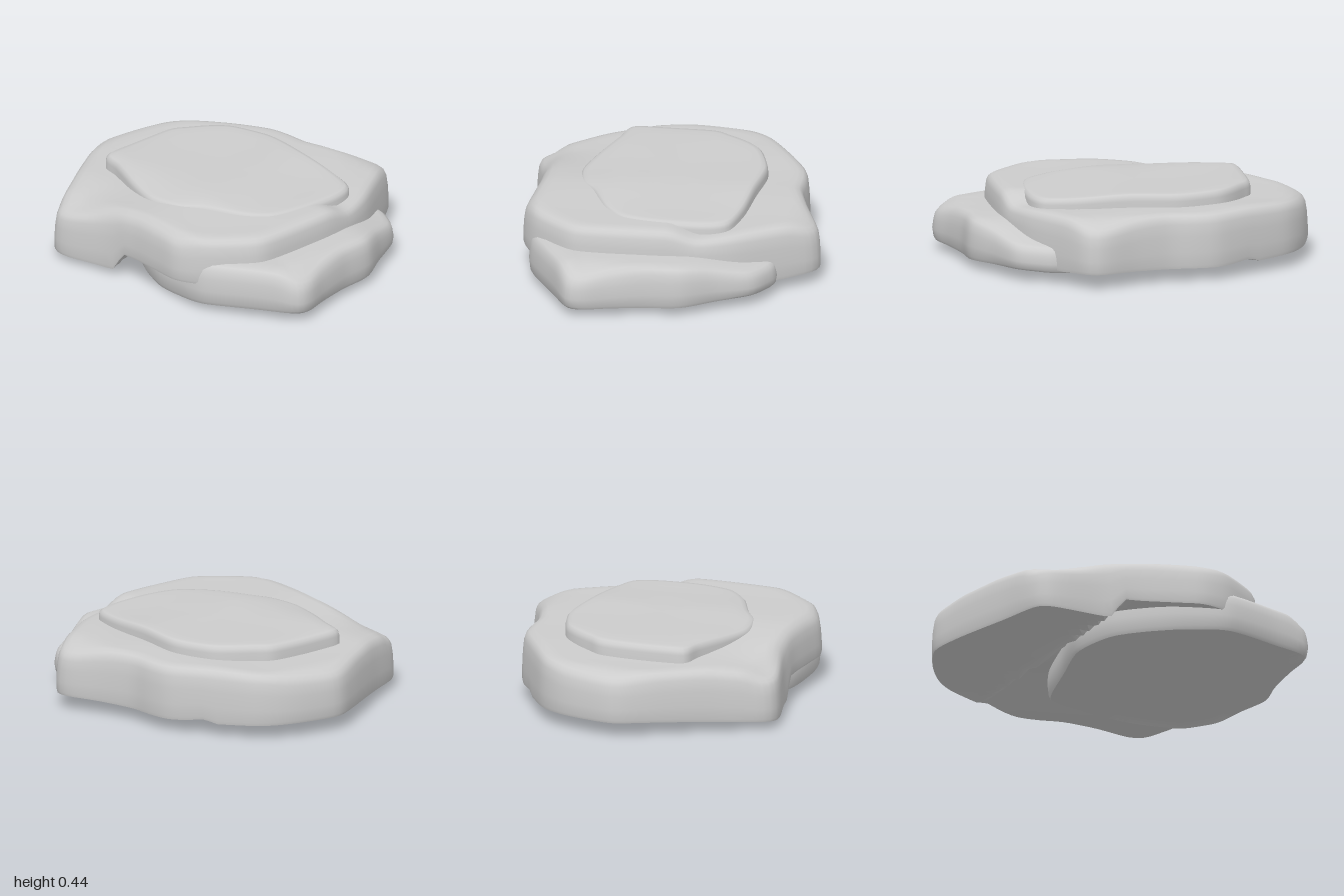
import * as THREE from 'three';
import { toCreasedNormals } from 'three/addons/utils/BufferGeometryUtils.js';

const SIDES = 130;
const step = THREE.MathUtils.smoothstep;

// Gentle uneven weathering
const ripple = (x, z) => 0.004 * Math.sin(7 * x + 3 * z) * Math.sin(5 * z - 4 * x + 1);

// Each profile entry: [scale of outline, height from underside (0) to top (1)]
const slabProfile = [
  [0, 0], [0.2, 0], [0.3, 0], [0.4, 0], [0.5, 0], [0.6, 0], [0.7, 0], [0.8, 0], [0.9, 0], [0.995, 0], [1, 0.06],
  [1, 0.3], [0.995, 0.6], [0.986, 0.82], [0.972, 0.92], [0.95, 0.97], [0.91, 1], [0.86, 1], [0.8, 1],
  [0.72, 1], [0.64, 1], [0.5, 1], [0.3, 1], [0, 1],
];
const lowerProfile = [
  [0, 0], [0.3, 0], [0.6, 0], [0.85, 0], [0.975, 0], [0.99, 0.08], [1, 0.35], [0.99, 0.65],
  [0.978, 0.85], [0.95, 0.96], [0.91, 1], [0.8, 1], [0.65, 1], [0.4, 1], [0, 1],
];
const capProfile = [
  [0, 0], [0.6, 0], [1, 0], [1, 0.75], [0.99, 0.9], [0.965, 0.98], [0.92, 1], [0.8, 1], [0.6, 1], [0.3, 1], [0, 1],
];

// Stone slab lofted from an outline [x, z] between two height functions
function makeSlab(name, material, outline, [cx, cz], profile, bottom, top) {
  const points = outline.map(([x, z]) => new THREE.Vector3(x, 0, z));
  const rim = new THREE.CatmullRomCurve3(points, true, 'catmullrom', 0.4).getSpacedPoints(SIDES).slice(0, SIDES);
  const positions = [];
  const index = [];
  profile.forEach(([s, v], r) => {
    rim.forEach((p, i) => {
      const x = cx + (p.x - cx) * s;
      const z = cz + (p.z - cz) * s;
      const y = THREE.MathUtils.lerp(bottom(x, z), top(x, z) + ripple(x, z), v);
      positions.push(x, y, z);
      if (r === profile.length - 1) return;
      const j = (i + 1) % SIDES;
      const a = r * SIDES + i, b = a + SIDES, c = (r + 1) * SIDES + j, d = r * SIDES + j;
      if (profile[r + 1][0] > 0) index.push(a, b, c);
      if (s > 0) index.push(a, c, d);
    });
  });
  const geometry = new THREE.BufferGeometry();
  geometry.setAttribute('position', new THREE.Float32BufferAttribute(positions, 3));
  geometry.setIndex(index);
  const mesh = new THREE.Mesh(toCreasedNormals(geometry, 0.9), material);
  mesh.name = name;
  return mesh;
}

export function createModel() {
  const group = new THREE.Group();
  group.name = 'stackedFlatRocks';
  const stone = new THREE.MeshStandardMaterial({ color: 0xcccccc });
  stone.name = 'greyStone';

  // Low slab sticking out on the left side
  group.add(makeSlab('lowerSlab', stone, [
    [-0.31, -0.3], [-0.1, -0.45], [0.2, -0.58], [0.46, -0.64], [0.57, -0.61], [0.68, -0.54], [0.78, -0.36],
    [0.88, -0.19], [0.9, 0], [0.95, 0.2], [1, 0.35], [0.98, 0.44], [0.8, 0.55], [0.52, 0.71],
    [0.3, 0.72], [0.12, 0.69], [-0.12, 0.58], [-0.27, 0.38], [-0.3, 0.1],
  ], [0.35, 0.05], lowerProfile,
  (x, z) => 0.05 * Math.max(0, (x - 0.15) / 0.85) + 0.035 * step(-z, 0, 0.65) + 0.015 * step(z, 0.35, 0.7),
  (x, z) => 0.274 - 0.085 * step(-z, 0.15, 0.62) - 0.05 * step(x, 0.86, 1)));

  // Broad main slab, raised along its front left and notched underneath to sit on the lower slab
  group.add(makeSlab('mainSlab', stone, [
    [-1, 0.07], [-0.97, -0.14], [-0.92, -0.28], [-0.83, -0.4], [-0.62, -0.545], [-0.43, -0.66], [-0.3, -0.685],
    [-0.15, -0.69], [0.03, -0.75], [0.2, -0.83], [0.28, -0.843], [0.35, -0.8], [0.48, -0.61], [0.6, -0.42],
    [0.68, -0.22], [0.715, 0], [0.72, 0.38], [0.68, 0.5], [0.52, 0.69], [0.37, 0.77], [0.2, 0.765], [0, 0.755],
    [-0.2, 0.775], [-0.46, 0.84], [-0.57, 0.805], [-0.72, 0.56], [-0.92, 0.24],
  ], [-0.05, 0], slabProfile,
  (x, z) => 0.035 + 0.045 * step(-x, 0.4, 1) + 0.045 * step(-z, 0.3, 0.85)
    + 0.115 * step(x - 0.4 * z, -0.46, -0.36) * step(z, -0.7, -0.2),
  (x, z) => 0.352 + 0.054 * step(x, -0.5, 0.1) * step(z, -0.25, -0.06)
    + 0.014 * step(-z, 0.2, 0.5) - 0.05 * step(-z, 0.66, 0.86) - 0.03 * step(-x, 0.85, 1)
    - 0.035 * step(z, 0.45, 0.8) * step(-x, 0.1, 0.5) - 0.035 * step(z, 0.68, 0.78)));

  // Thin worn layer on top, fading into the main slab on its left side
  group.add(makeSlab('topLayer', stone, [
    [-0.67, -0.1], [-0.62, -0.2], [-0.54, -0.32], [-0.45, -0.4], [-0.23, -0.47], [0.05, -0.45], [0.3, -0.43],
    [0.5, -0.38], [0.56, -0.25], [0.57, 0], [0.53, 0.2], [0.4, 0.32], [0.2, 0.42], [0.08, 0.5],
    [-0.1, 0.53], [-0.3, 0.48], [-0.52, 0.4], [-0.65, 0.36], [-0.67, 0.2],
  ], [-0.05, 0], capProfile,
  () => 0.28,
  (x, z) => 0.436 - 0.022 * step(x, 0, 0.55) - 0.025 * step(z, 0.3, 0.53)));

  return group;
}
